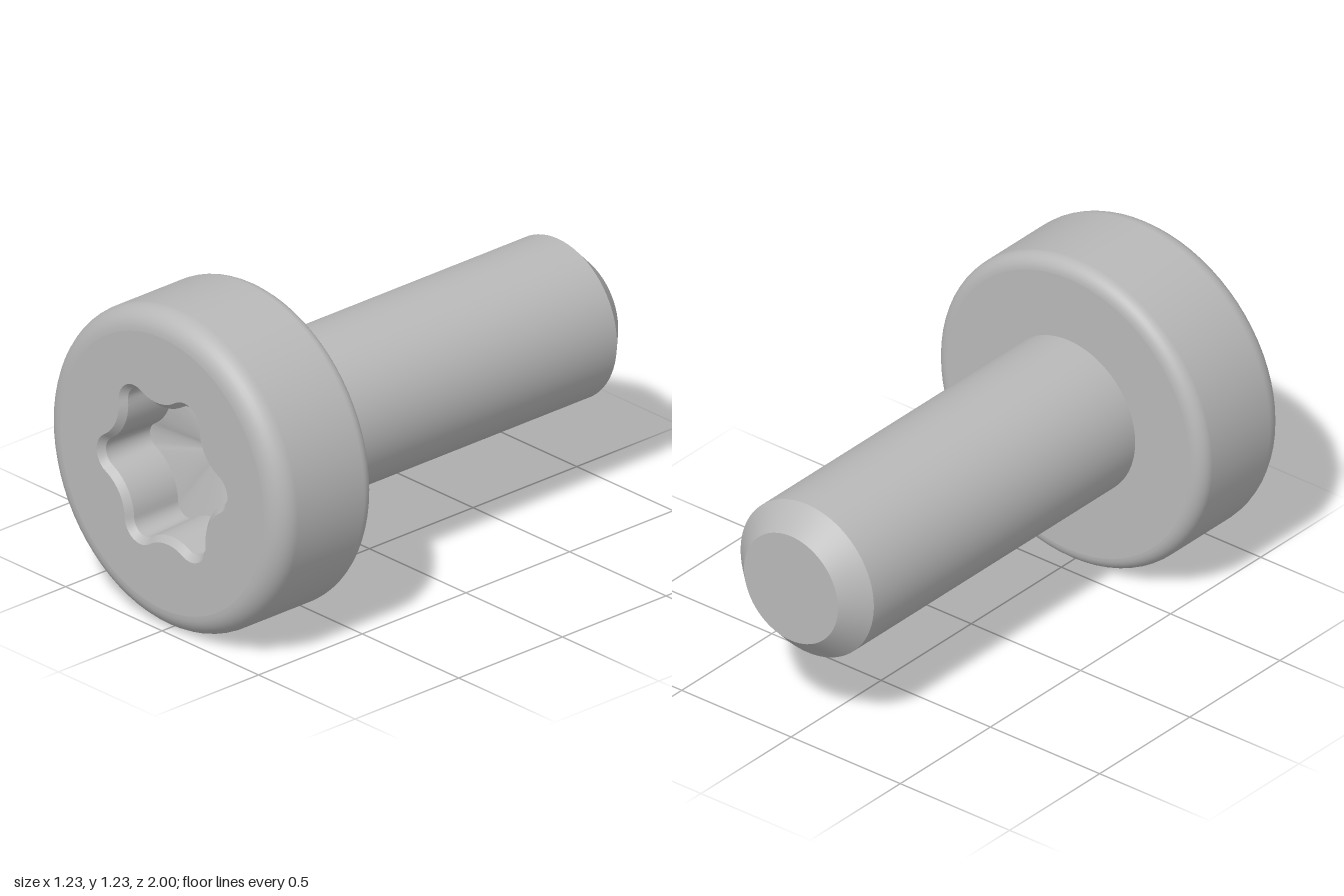
import * as THREE from 'three';

const AXIS_Y = 0.615, FRONT = 1, HEAD_BACK = 0.54, TIP = -1;
const HEAD_R = 0.613, SHAFT_R = 0.305, SEGMENTS = 72;

const steel = new THREE.MeshStandardMaterial({ color: 0xb8b8b8 });
steel.name = 'steel grey';

// Six-lobed outline of tangent arcs, shrunk inward by `inset`
function lobedOutline(inset) {
  const lobeDist = 0.26, lobeR = 0.08 - inset;
  const valleyDist = 0.434, valleyR = 0.166 + inset;
  const step = Math.PI / 3, half = step / 2, n = 10;
  const phi = Math.atan2(valleyDist * Math.sin(half), valleyDist * Math.cos(half) - lobeDist);
  const points = [];
  const arc = (dist, dir, r, from, to) => {
    for (let i = 0; i < n; i++) {
      const a = from + (to - from) * i / n;
      points.push(new THREE.Vector2(
        dist * Math.cos(dir) + r * Math.cos(a),
        dist * Math.sin(dir) + r * Math.sin(a)));
    }
  };
  for (let k = 0; k < 6; k++) {
    const t = THREE.MathUtils.degToRad(4) + k * step;
    const mid = t + half + Math.PI;
    arc(lobeDist, t, lobeR, t - phi, t + phi);
    arc(valleyDist, t + half, valleyR, mid + phi - half, mid - phi + half);
  }
  return points;
}

// Smooth inward-facing band between two matching outlines
function band(front, zFront, back, zBack) {
  const n = front.length, position = [], index = [];
  front.forEach(p => position.push(p.x, p.y, zFront));
  back.forEach(p => position.push(p.x, p.y, zBack));
  for (let i = 0; i < n; i++) {
    const j = (i + 1) % n;
    index.push(i, j, n + i, j, n + j, n + i);
  }
  const geometry = new THREE.BufferGeometry();
  geometry.setAttribute('position', new THREE.Float32BufferAttribute(position, 3));
  geometry.setIndex(index);
  geometry.computeVertexNormals();
  return geometry;
}

// Shallow pit made of facets running to a central point
function pit(outline, zRim, zApex) {
  const position = [];
  outline.forEach((p, i) => {
    const q = outline[(i + 1) % outline.length];
    position.push(p.x, p.y, zRim, q.x, q.y, zRim, 0, 0, zApex);
  });
  const geometry = new THREE.BufferGeometry();
  geometry.setAttribute('position', new THREE.Float32BufferAttribute(position, 3));
  geometry.computeVertexNormals();
  return geometry;
}

// Surface of revolution about z from [radius, z] pairs, back to front
function turned(profile) {
  const points = profile.map(([r, z]) => new THREE.Vector2(r, z));
  return new THREE.LatheGeometry(points, SEGMENTS).rotateX(Math.PI / 2);
}

function fillet(r, z, radius, from, to) {
  return Array.from({ length: 9 }, (_, i) => {
    const a = from + (to - from) * i / 8;
    return [r + radius * Math.cos(a), z + radius * Math.sin(a)];
  });
}

export function createModel() {
  const group = new THREE.Group();
  group.name = 'socketScrew';
  const add = (name, geometry) => {
    const mesh = new THREE.Mesh(geometry, steel);
    mesh.name = name;
    mesh.position.y = AXIS_Y;
    group.add(mesh);
  };

  // Head: rounded rim, flat underside and front face with the socket opening
  const frontR = 0.085, backR = 0.055;
  add('headRim', turned([
    ...fillet(HEAD_R - backR, HEAD_BACK + backR, backR, -Math.PI / 2, 0),
    ...fillet(HEAD_R - frontR, FRONT - frontR, frontR, 0, Math.PI / 2),
  ]));
  add('headUnderside', turned([[SHAFT_R - 0.01, HEAD_BACK], [HEAD_R - backR, HEAD_BACK]]));

  const opening = lobedOutline(0), wallTop = lobedOutline(0.022), wallEnd = lobedOutline(0.03);
  const face = new THREE.Shape().absarc(0, 0, HEAD_R - frontR, 0, Math.PI * 2);
  face.holes.push(new THREE.Path(opening));
  add('headFace', new THREE.ShapeGeometry(face, SEGMENTS / 2).translate(0, 0, FRONT));

  // Socket: bevelled lip, wall and pointed floor
  add('socketLip', band(opening, FRONT, wallTop, 0.975));
  add('socketWall', band(wallTop, 0.975, wallEnd, 0.77));
  add('socketFloor', pit(wallEnd, 0.77, 0.71));

  // Shaft with a bevelled flat tip
  const bevel = 0.09;
  add('shaft', turned([[SHAFT_R, TIP + bevel], [SHAFT_R, HEAD_BACK]]));
  add('tipBevel', turned([[SHAFT_R - bevel, TIP], [SHAFT_R, TIP + bevel]]));
  add('tipFace', new THREE.CircleGeometry(SHAFT_R - bevel, SEGMENTS).rotateY(Math.PI).translate(0, 0, TIP));

  return group;
}
